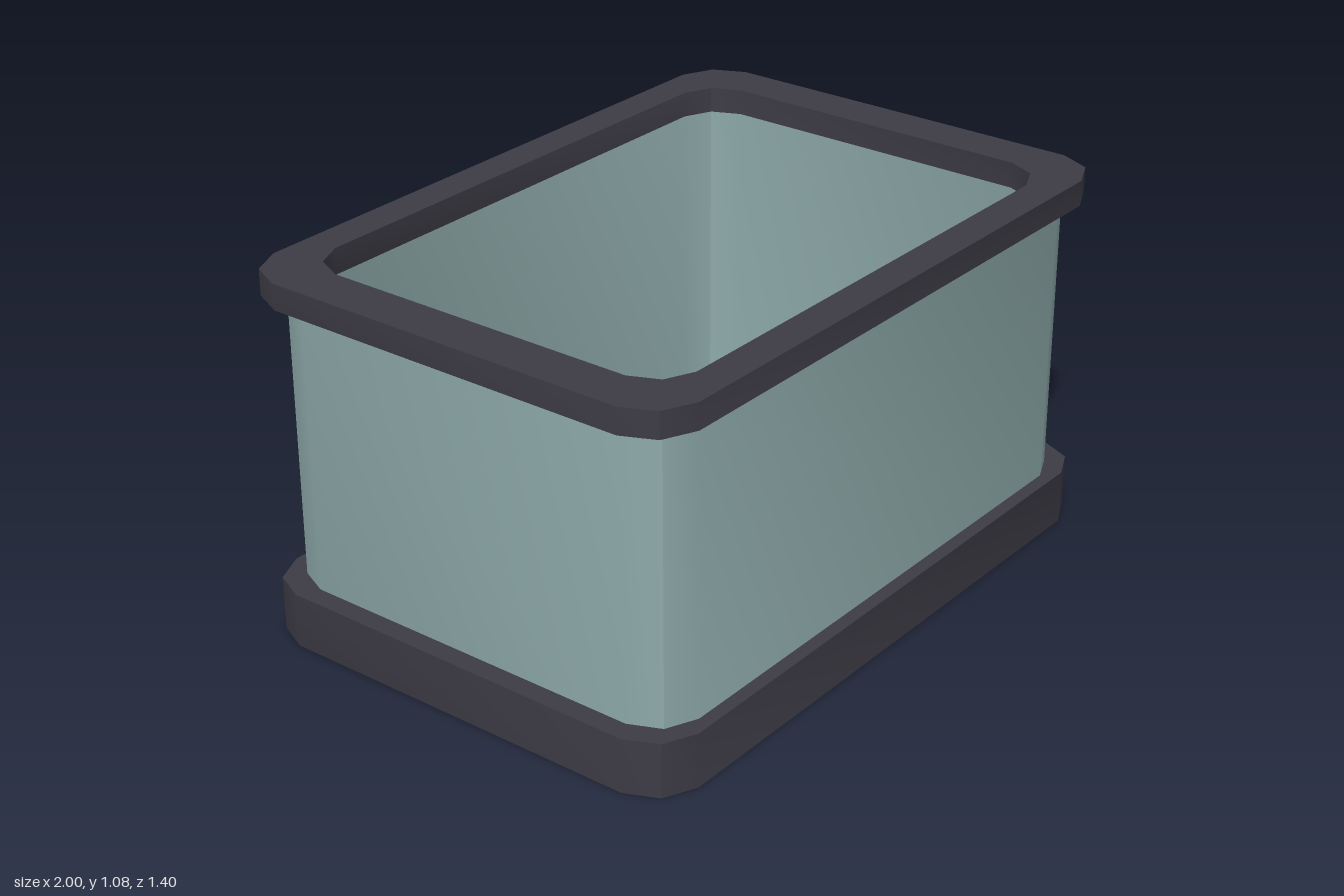
import * as THREE from 'three';
import { toCreasedNormals } from 'three/addons/utils/BufferGeometryUtils.js';

// Rectangle outline with two-facet corners; c = corner length, m = inset of its middle point
function outline(w, d, c, m) {
  const corner = [[w, d - c], [w - m, d - m], [w - c, d]];
  const flipped = [...corner].reverse();
  const points = [
    ...corner,
    ...flipped.map(([x, y]) => [-x, y]),
    ...corner.map(([x, y]) => [-x, -y]),
    ...flipped.map(([x, y]) => [x, -y]),
  ];
  return points.map(([x, y]) => new THREE.Vector2(x, y));
}

// Upright slab from y0 to y1, optionally with an opening
function slab(name, material, y0, y1, outer, inner) {
  const shape = new THREE.Shape(outer);
  if (inner) shape.holes.push(new THREE.Path(inner));
  const geometry = new THREE.ExtrudeGeometry(shape, { depth: y1 - y0, bevelEnabled: false });
  geometry.rotateX(-Math.PI / 2).translate(0, y0, 0);
  const mesh = new THREE.Mesh(toCreasedNormals(geometry, THREE.MathUtils.degToRad(32)), material);
  mesh.name = name;
  return mesh;
}

export function createModel() {
  const group = new THREE.Group();
  group.name = 'openTank';
  const frame = new THREE.MeshStandardMaterial({ color: 0x3e3c46 });
  const glass = new THREE.MeshStandardMaterial({ color: 0x90acac });

  const edge = outline(1, 0.7, 0.137, 0.043);
  const wall = outline(0.94, 0.66, 0.13, 0.04);
  const opening = outline(0.86, 0.597, 0.12, 0.037);

  group.add(
    slab('baseFrame', frame, 0, 0.16, edge, wall),
    slab('topRim', frame, 1, 1.075, edge, opening),
    slab('tankFloor', glass, 0, 0.08, wall),
    slab('tankWalls', glass, 0.08, 1, wall, opening),
  );
  return group;
}
